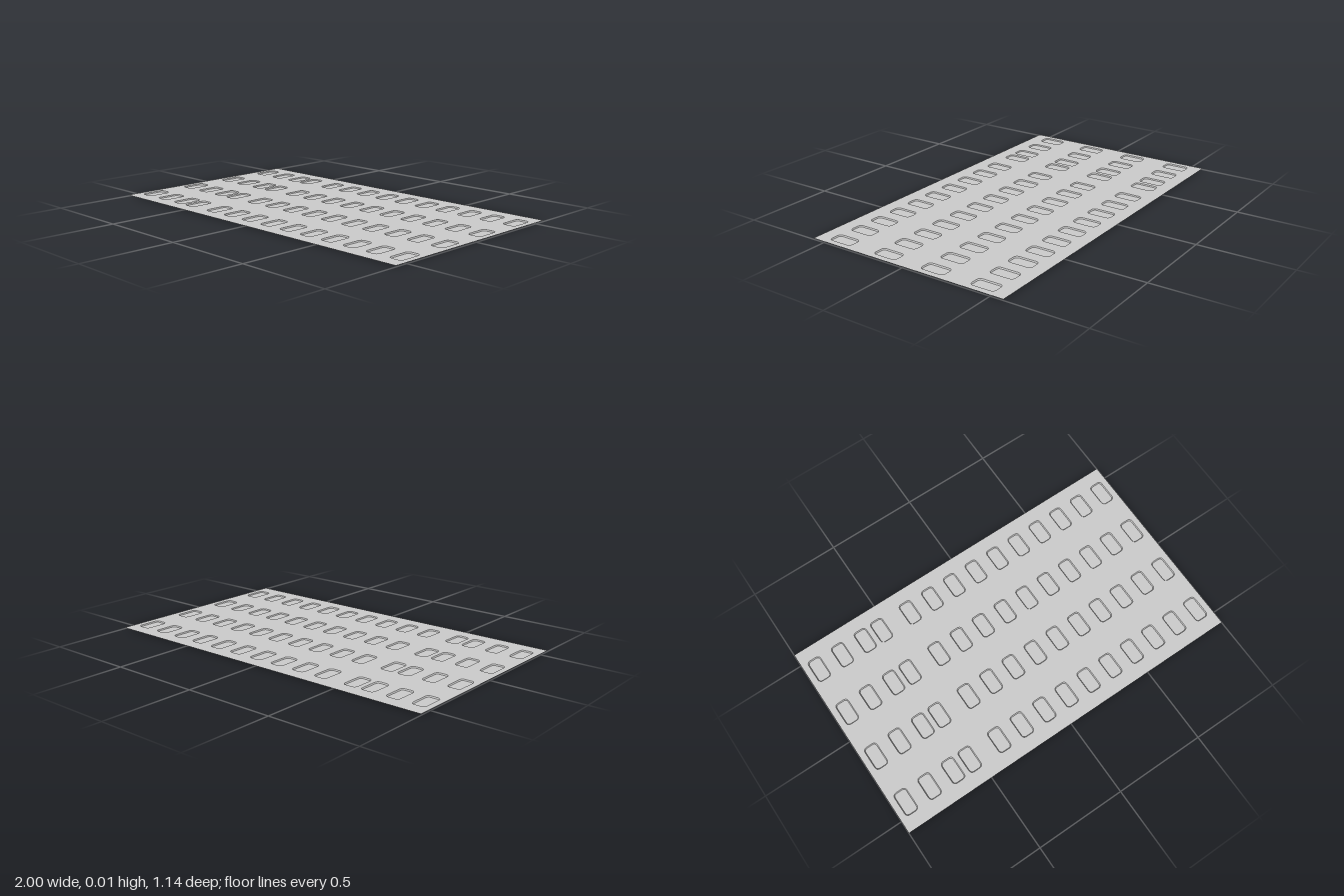
import * as THREE from 'three';

const DEPTH = 0.006;
const material = new THREE.MeshStandardMaterial({ color: 0xcccccc, side: THREE.DoubleSide, flatShading: true });

// Rounded rectangle outline, counter-clockwise, centred on (cx, cy)
function outline(w, h, r, cx = 0, cy = 0) {
  const points = [];
  const steps = 4;
  for (let corner = 0; corner < 4; corner++) {
    const sx = corner === 0 || corner === 3 ? 1 : -1;
    const sy = corner < 2 ? 1 : -1;
    for (let i = 0; i <= steps; i++) {
      const a = (corner + i / steps) * Math.PI / 2;
      points.push(new THREE.Vector2(
        cx + sx * (w / 2 - r) + r * Math.cos(a),
        cy + sy * (h / 2 - r) + r * Math.sin(a)));
    }
  }
  return points;
}

// Sloping wall between the rim and the floor of a pocket
function wallGeometry(rim, base) {
  const positions = [], indices = [], n = rim.length;
  rim.forEach((p) => positions.push(p.x, DEPTH, -p.y));
  base.forEach((p) => positions.push(p.x, 0, -p.y));
  for (let i = 0; i < n; i++) {
    const j = (i + 1) % n;
    indices.push(i, j, n + i, j, n + j, n + i);
  }
  const geometry = new THREE.BufferGeometry();
  geometry.setAttribute('position', new THREE.Float32BufferAttribute(positions, 3));
  geometry.setIndex(indices);
  geometry.computeVertexNormals();
  return geometry;
}

export function createModel() {
  const model = new THREE.Group();
  model.name = 'pocketSheet';

  // Pocket grid: fourteen columns, the fourth one shifted sideways, by four rows
  const pitch = 2 / 14;
  const columns = Array.from({ length: 14 }, (_, i) => (i - 6.5) * pitch - (i === 3 ? 0.04 : 0));
  const rows = [-1.5, -0.5, 0.5, 1.5].map((k) => k * 2 * pitch);
  const rimSize = [0.075, 0.135, 0.02];

  // Thin sheet with an opening for every pocket
  const sheetShape = new THREE.Shape([[-1, -0.571], [1, -0.571], [1, 0.571], [-1, 0.571]]
    .map(([x, y]) => new THREE.Vector2(x, y)));
  for (const x of columns) for (const z of rows) {
    sheetShape.holes.push(new THREE.Path(outline(...rimSize, x, -z).reverse()));
  }
  const sheet = new THREE.Mesh(new THREE.ShapeGeometry(sheetShape).rotateX(-Math.PI / 2), material);
  sheet.position.y = DEPTH;
  sheet.name = 'sheet';
  model.add(sheet);

  // Shallow pockets pressed down below the sheet
  const base = outline(0.066, 0.126, 0.0155);
  const walls = wallGeometry(outline(...rimSize), base);
  const floor = new THREE.ShapeGeometry(new THREE.Shape(base)).rotateX(-Math.PI / 2);
  for (const x of columns) for (const z of rows) {
    const pocket = new THREE.Group();
    pocket.name = 'pocket';
    const wallMesh = new THREE.Mesh(walls, material);
    wallMesh.name = 'pocketWall';
    const floorMesh = new THREE.Mesh(floor, material);
    floorMesh.name = 'pocketFloor';
    pocket.add(wallMesh, floorMesh);
    pocket.position.set(x, 0, z);
    model.add(pocket);
  }
  return model;
}
